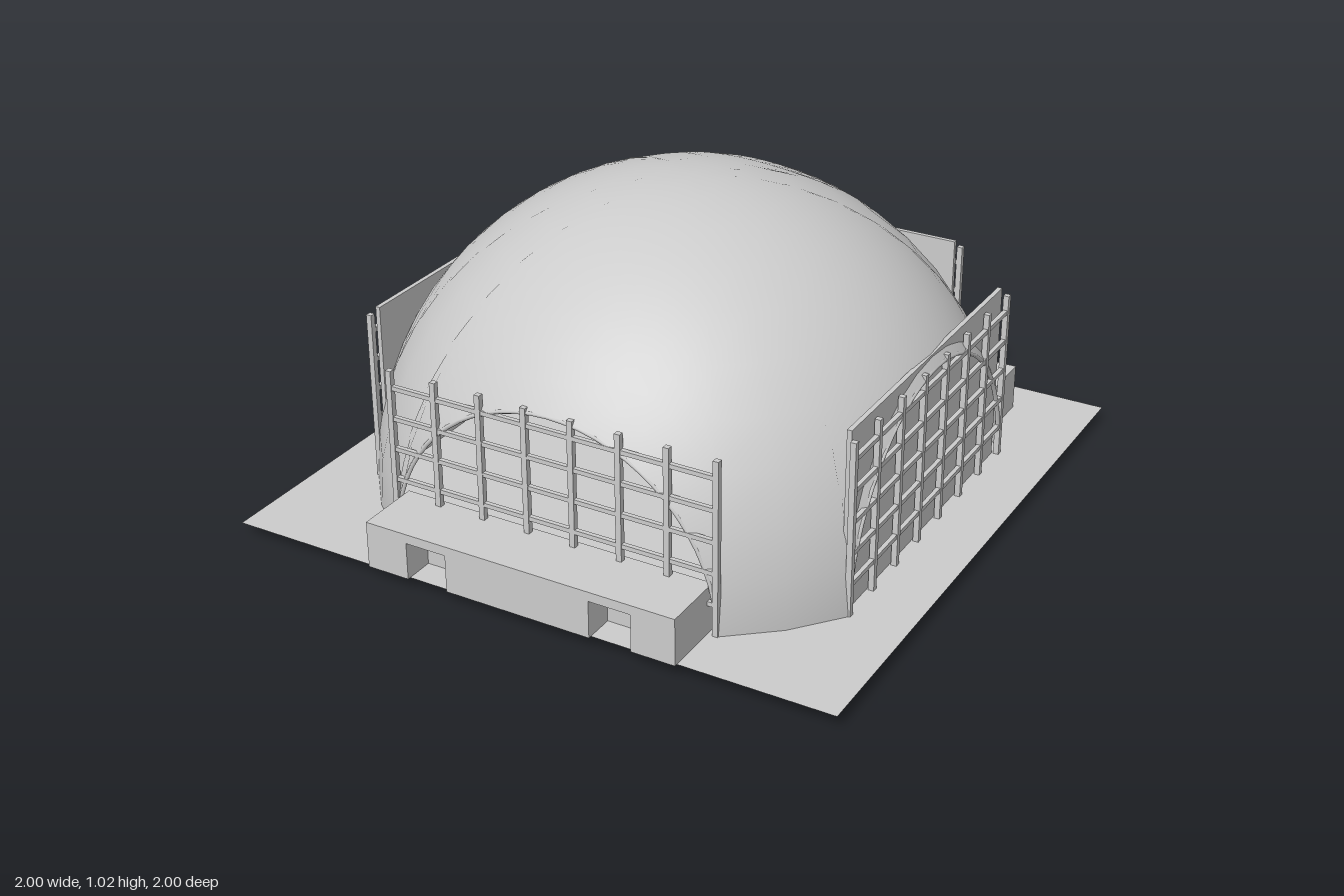
import * as THREE from 'three';

const R = 0.985;                       // dome radius
const FLOOR = 0.04;
const EDGE = THREE.MathUtils.degToRad(33.75);
const CUT = R * Math.cos(EDGE);        // distance of the four cut planes
const ARCH = R * Math.sin(EDGE);       // radius of each arched opening

const grey = new THREE.MeshStandardMaterial({ color: 0xcccccc });
const greyDouble = new THREE.MeshStandardMaterial({ color: 0xcccccc, side: THREE.DoubleSide });

function add(parent, name, geometry, material = grey) {
  const mesh = new THREE.Mesh(geometry, material);
  mesh.name = name;
  parent.add(mesh);
  return mesh;
}

// Box given by its minimum and maximum corners
function box(parent, name, [x0, y0, z0], [x1, y1, z1]) {
  const mesh = add(parent, name, new THREE.BoxGeometry(x1 - x0, y1 - y0, z1 - z0));
  mesh.position.set((x0 + x1) / 2, (y0 + y1) / 2, (z0 + z1) / 2);
  return mesh;
}

// Hemisphere trimmed by four vertical planes, leaving an arch on every side
function domeGeometry() {
  const archSteps = 16, rows = 10, azimuths = [];
  for (let side = 0; side < 4; side++) {
    const mid = side * Math.PI / 2;
    for (let i = 0; i <= archSteps; i++) {
      const offset = -ARCH * Math.cos(Math.PI * i / archSteps);
      azimuths.push(mid + Math.atan2(offset, CUT));
    }
    azimuths.push(mid + Math.PI / 4);
  }
  azimuths.push(azimuths[0] + Math.PI * 2);

  const positions = [], normals = [], index = [];
  for (const phi of azimuths) {
    const c = Math.cos(phi), s = Math.sin(phi);
    const reach = CUT / (R * Math.max(Math.abs(c), Math.abs(s)));
    const maxTheta = Math.asin(Math.min(1, reach));
    for (let j = 0; j <= rows; j++) {
      const theta = maxTheta * j / rows;
      const n = [Math.sin(theta) * c, Math.cos(theta), Math.sin(theta) * s];
      normals.push(...n);
      positions.push(n[0] * R, n[1] * R + FLOOR, n[2] * R);
    }
  }
  const stride = rows + 1;
  for (let i = 0; i < azimuths.length - 1; i++) {
    for (let j = 0; j < rows; j++) {
      const a = i * stride + j, b = a + stride;
      index.push(a, b + 1, a + 1);
      if (j > 0) index.push(a, b, b + 1);
    }
  }
  const geometry = new THREE.BufferGeometry();
  geometry.setAttribute('position', new THREE.Float32BufferAttribute(positions, 3));
  geometry.setAttribute('normal', new THREE.Float32BufferAttribute(normals, 3));
  geometry.setIndex(index);
  return geometry;
}

// Window lattice with arch rim, facing +z; closed sides also get a wall panel
function facade(name, panelBottom) {
  const group = new THREE.Group();
  group.name = name;
  const z = CUT - 0.005, half = 0.54, t = 0.009;
  for (let i = 0; i < 8; i++) {
    const x = -half + 2 * half * i / 7;
    box(group, 'mullion', [x - t, FLOOR - 0.01, z - t], [x + t, 0.595, z + t]);
  }
  for (let i = 0; i < 5; i++) {
    const y = 0.14 + 0.1 * i;
    box(group, 'transom', [-half, y - 0.007, z - 0.007], [half, y + 0.007, z + 0.007]);
  }
  const rim = add(group, 'archRim', new THREE.TorusGeometry(ARCH - 0.004, 0.007, 6, 32, Math.PI));
  rim.position.set(0, FLOOR, CUT - 0.005);
  if (panelBottom !== null) {
    box(group, 'wallPanel', [-0.53, panelBottom, 0.785], [0.53, 0.62, 0.8]);
  }
  return group;
}

// Entrance block front with two doorways
function entranceGeometry() {
  const w = 0.515, top = 0.19, doorTop = 0.16;
  const outline = [
    [-w, FLOOR], [-0.375, FLOOR], [-0.375, doorTop], [-0.24, doorTop], [-0.24, FLOOR],
    [0.24, FLOOR], [0.24, doorTop], [0.375, doorTop], [0.375, FLOOR],
    [w, FLOOR], [w, top], [-w, top],
  ];
  const shape = new THREE.Shape(outline.map(([x, y]) => new THREE.Vector2(x, y)));
  return new THREE.ExtrudeGeometry(shape, { depth: 0.1, bevelEnabled: false });
}

export function createModel() {
  const model = new THREE.Group();
  model.name = 'domedHall';

  // Ground sheet
  const ground = add(model, 'ground', new THREE.PlaneGeometry(2, 1.99), greyDouble);
  ground.rotation.x = -Math.PI / 2;
  ground.position.set(0, FLOOR, -0.005);

  add(model, 'dome', domeGeometry(), greyDouble);

  // Open lattice at the front, panelled lattices on the other sides
  const sides = [['frontLattice', null], ['leftLattice', 0], ['backLattice', FLOOR], ['rightLattice', 0]];
  sides.forEach(([name, bottom], i) => {
    const side = facade(name, bottom);
    side.rotation.y = i * Math.PI / 2;
    model.add(side);
  });

  // Entrance block
  const entrance = add(model, 'entranceBlock', entranceGeometry());
  entrance.position.z = 0.9;
  box(model, 'entranceCore', [-0.515, FLOOR, 0.79], [0.515, 0.19, 0.9]);

  // Rear block and the two footings that join it
  box(model, 'rearBlock', [-0.74, FLOOR, -0.86], [0.74, 0.19, -0.66]);
  for (const s of [-1, 1]) {
    const footing = box(model, 'rearFooting', [0.2, 0, -0.66], [0.77, 0.188, -0.58]);
    footing.position.x *= s;
  }
  return model;
}
